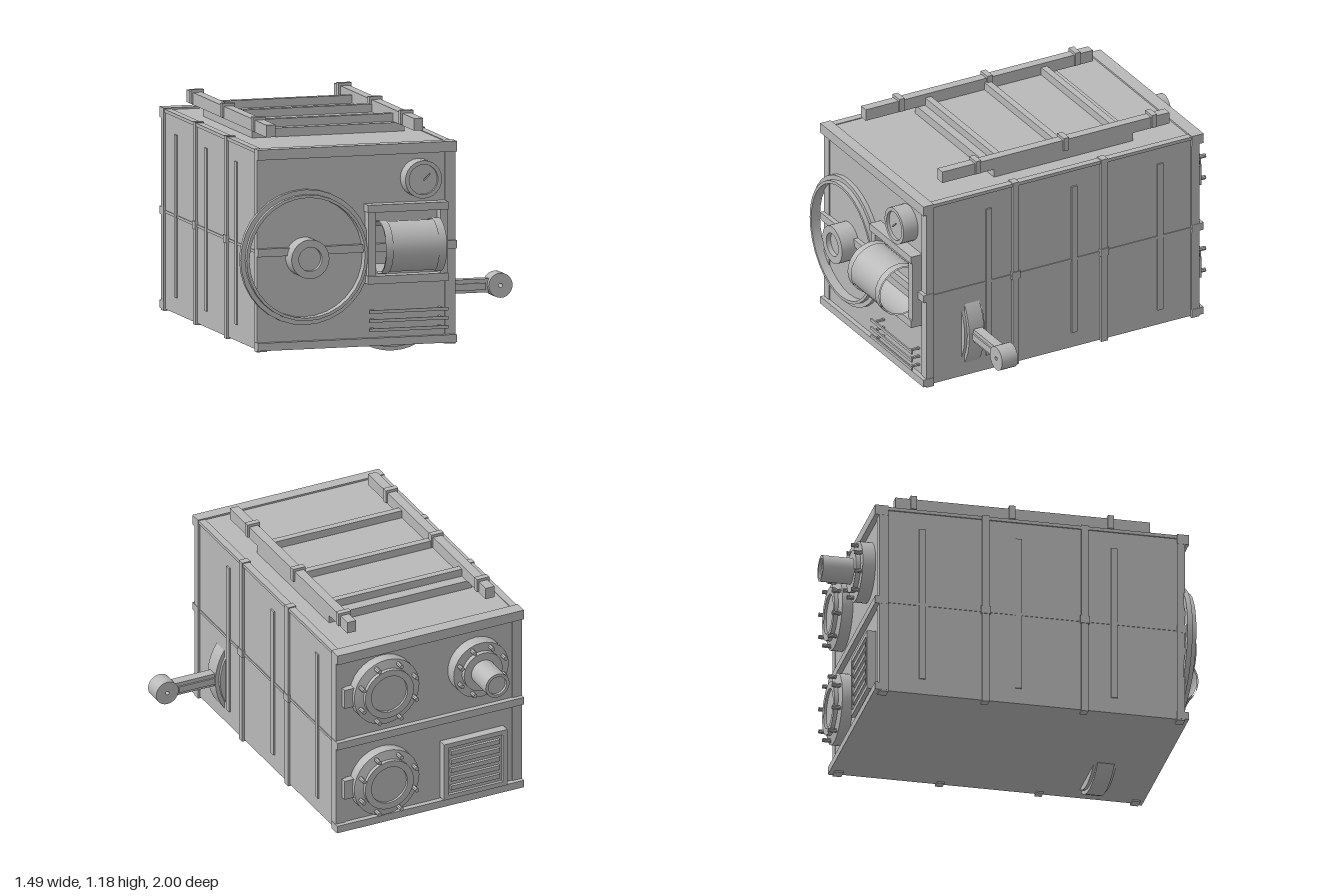
import * as THREE from 'three';
import { toCreasedNormals } from 'three/addons/utils/BufferGeometryUtils.js';

export function createModel() {
  const model = new THREE.Group();
  const grey = new THREE.MeshStandardMaterial({ color: 0xb8b8b8 });
  grey.name = 'grey metal';
  const greySheet = grey.clone();
  greySheet.name = 'grey metal sheet';
  greySheet.side = THREE.DoubleSide;

  const add = (name, geometry, material = grey) => {
    const mesh = new THREE.Mesh(geometry, material);
    mesh.name = name;
    model.add(mesh);
    return mesh;
  };
  // Box given by its limits on each axis
  const box = (name, x0, x1, y0, y1, z0, z1) => {
    const g = new THREE.BoxGeometry(x1 - x0, y1 - y0, z1 - z0);
    g.translate((x0 + x1) / 2, (y0 + y1) / 2, (z0 + z1) / 2);
    return add(name, g);
  };
  // Turned part: profile of [radius, height], pointing forward (dir 1) or backward (dir -1)
  const turned = (name, profile, x, y, z, dir = 1, sides = 32) => {
    const lathe = new THREE.LatheGeometry(profile.map(p => new THREE.Vector2(...p)), sides);
    lathe.rotateX(dir * Math.PI / 2);
    const mesh = add(name, toCreasedNormals(lathe, 0.5));
    mesh.position.set(x, y, z);
    return mesh;
  };

  // Cabinet
  box('cabinet', -0.645, 0.363, 0.068, 1.063, -0.755, 0.785);
  for (const [x0, x1] of [[-0.655, -0.603], [0.32, 0.374]]) {
    box('cornerPost', x0, x1, 0.06, 1.068, 0.75, 0.79);
    box('cornerPost', x0, x1, 0.06, 1.068, -0.76, -0.715);
  }
  for (const [y0, y1] of [[0.068, 0.107], [0.537, 0.577], [1.02, 1.072]]) {
    box('frontBar', -0.656, 0.376, y0, y1, 0.75, 0.81);
    box('backBar', -0.656, 0.376, y0, y1, -0.782, -0.715);
  }

  // Side straps, ribs and seams
  for (const [xIn, xOut, xRib, xRail] of [[0.33, 0.375, 0.371, 0.335], [-0.61, -0.656, -0.652, -0.615]]) {
    const span = (name, a, b, ...rest) => box(name, Math.min(a, b), Math.max(a, b), ...rest);
    for (const z of [0.283, -0.22]) {
      span('sideStrap', xIn, xOut, 0.06, 1.072, z - 0.018, z + 0.018);
      span('strapClip', xIn, xOut + Math.sign(xOut) * 0.004, 0.537, 0.577, z - 0.024, z + 0.024);
    }
    for (const z of [0.433, -0.053, -0.54]) {
      span('sideRib', xIn, xRib, 0.15, 0.963, z - 0.016, z + 0.016);
    }
    span('sideSeam', xIn, xRib - Math.sign(xRib) * 0.004, 0.548, 0.562, -0.74, 0.77);
    span('topRail', xRail, xRib, 1.05, 1.067, -0.755, 0.785);
  }

  // Roof rack
  box('rackBase', -0.536, 0.255, 1.06, 1.107, -0.45, 0.34);
  for (const x of [-0.532, 0.233]) {
    box('rackRail', x - 0.024, x + 0.024, 1.107, 1.168, -0.655, 0.635);
    for (const z of [-0.565, -0.065, 0.435]) {
      box('rackClip', x - 0.034, x + 0.034, 1.112, 1.182, z - 0.015, z + 0.015);
    }
  }
  for (const z of [-0.378, -0.056, 0.28]) {
    box('rackCrossbar', -0.51, 0.21, 1.1, 1.147, z - 0.017, z + 0.017);
  }

  // Front hoop and hub
  turned('hoop', [[0.3, 0], [0.338, 0], [0.338, 0.026], [0.315, 0.026], [0.315, 0.05], [0.3, 0.05], [0.3, 0]],
    -0.407, 0.526, 0.782);
  turned('hub', [[0.098, 0], [0.098, 0.1], [0.06, 0.1], [0.06, 0.075], [0, 0.075]], -0.407, 0.526, 0.783);

  // Gauge with needle
  turned('gauge', [[0.095, 0], [0.095, 0.085], [0.075, 0.085], [0.075, 0.07], [0, 0.07]], 0.185, 0.896, 0.783, 1, 24);
  const needle = add('gaugeNeedle', new THREE.BoxGeometry(0.046, 0.006, 0.008));
  needle.position.set(0.2, 0.91, 0.875);
  needle.rotation.z = 0.75;

  // Drum in its frame
  box('drumFrameTop', -0.097, 0.32, 0.739, 0.777, 0.78, 0.848);
  box('drumFrameBottom', -0.097, 0.32, 0.382, 0.422, 0.78, 0.848);
  box('drumFrameSide', -0.092, -0.054, 0.422, 0.739, 0.78, 0.84);
  box('drumFrameSide', 0.28, 0.32, 0.422, 0.739, 0.78, 0.84);
  const tube = (name, radius, x0, x1) => {
    const g = new THREE.CylinderGeometry(radius, radius, x1 - x0, 24, 1, true);
    g.rotateZ(Math.PI / 2);
    add(name, g, greySheet).position.set((x0 + x1) / 2, 0.57, 0.866);
  };
  tube('drum', 0.126, -0.05, 0.265);
  tube('drumBand', 0.133, -0.05, -0.012);
  tube('drumBand', 0.133, 0.224, 0.265);

  // Front louvre slats on small mounts
  for (const y of [0.152, 0.198, 0.243]) {
    box('louvreSlat', -0.09, 0.32, y - 0.008, y + 0.008, 0.838, 0.846);
    for (const x of [-0.06, 0.29]) box('slatMount', x - 0.006, x + 0.006, y - 0.005, y + 0.005, 0.78, 0.84);
  }

  // Crank wheel showing through the side and floor, with its lever
  turned('crankWheel', [[0, 0], [0.275, 0], [0.275, 0.015], [0.295, 0.015], [0.295, 0.1], [0.275, 0.1],
    [0.275, 0.115], [0, 0.115]], 0.118, 0.3, 0.47, 1, 40);
  box('leverArm', 0.3, 0.64, 0.27, 0.338, 0.495, 0.545);
  box('leverRidge', 0.3, 0.61, 0.284, 0.318, 0.487, 0.553);
  turned('leverKnob', [[0.01, 0], [0.062, 0], [0.062, 0.09], [0.01, 0.09], [0.01, 0]], 0.68, 0.305, 0.48, 1, 24);

  // Back flanges with rings of bolts
  const bolts = (x, y, radius, count) => {
    for (let i = 0; i < count; i++) {
      const a = (i + 0.5) / count * Math.PI * 2;
      turned('flangeBolt', [[0.011, 0], [0.011, 0.045], [0, 0.045]],
        x + radius * Math.cos(a), y + radius * Math.sin(a), -0.81, -1, 8);
    }
  };
  for (const y of [0.82, 0.305]) {
    turned('portFlange', [[0.18, 0], [0.18, 0.058], [0.134, 0.068], [0.134, 0.088], [0.1, 0.088],
      [0.1, 0.075], [0, 0.075]], 0.117, y, -0.752, -1);
    bolts(0.117, y, 0.158, 8);
    box('flangeTab', 0.28, 0.34, y - 0.052, y + 0.052, -0.79, -0.75);
  }
  turned('pipeFlange', [[0.152, 0], [0.152, 0.068], [0.106, 0.068], [0.106, 0.092], [0, 0.092]],
    -0.4, 0.817, -0.752, -1);
  bolts(-0.4, 0.817, 0.13, 8);
  turned('pipe', [[0.066, 0], [0.066, 0.25], [0.05, 0.25], [0.05, 0.235], [0, 0.235]], -0.4, 0.817, -0.75, -1, 24);

  // Back vent
  box('ventPanel', -0.555, -0.205, 0.115, 0.43, -0.785, -0.75);
  for (const x of [-0.555, -0.23]) box('ventFrameSide', x, x + 0.025, 0.115, 0.43, -0.8, -0.75);
  for (const y of [0.115, 0.405]) box('ventFrameEdge', -0.555, -0.205, y, y + 0.025, -0.8, -0.75);
  for (let i = 0; i < 5; i++) {
    const y = 0.175 + i * 0.049;
    box('ventSlat', -0.515, -0.245, y - 0.012, y + 0.012, -0.8, -0.78);
  }
  return model;
}
